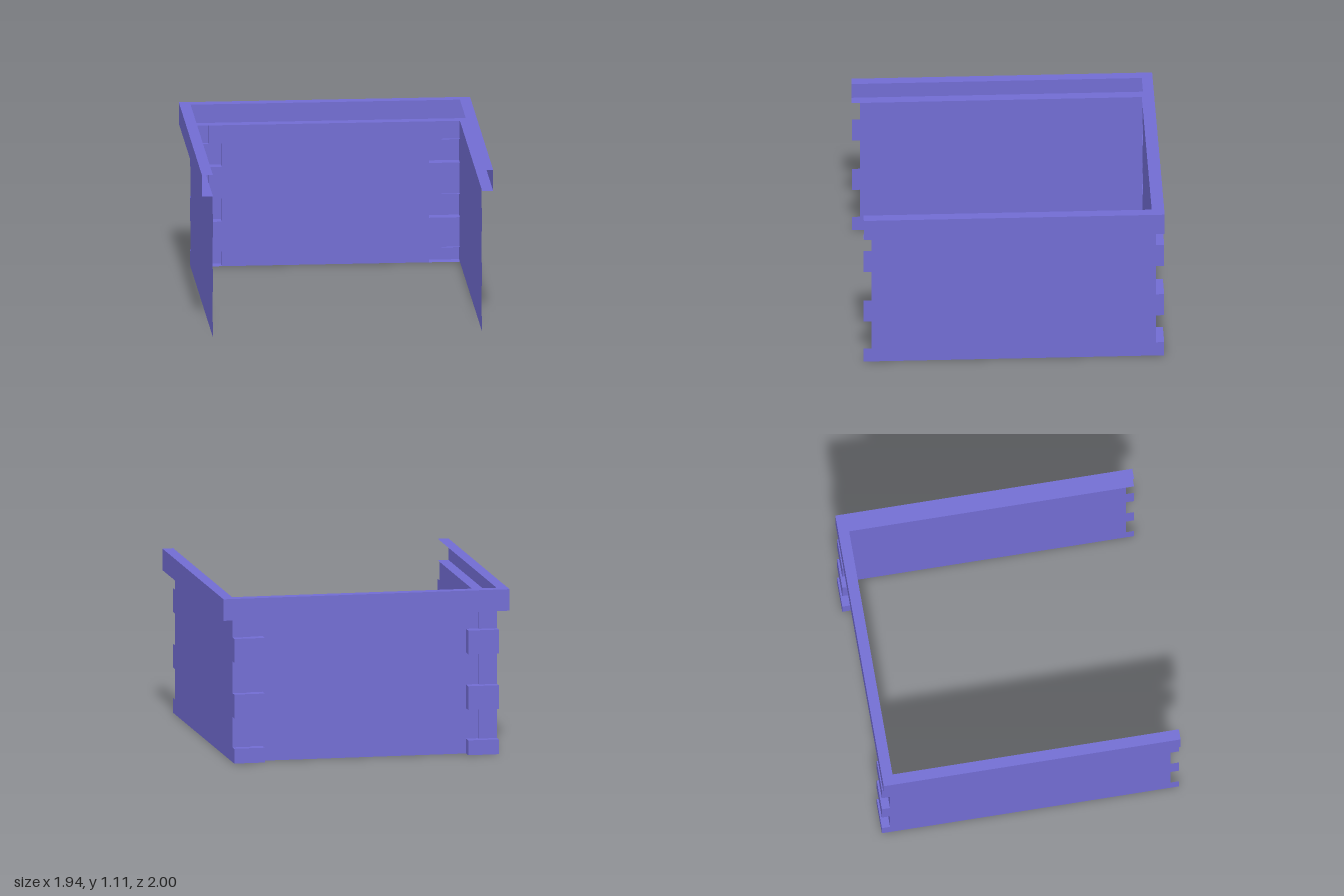
import * as THREE from 'three';
import { mergeGeometries } from 'three/addons/utils/BufferGeometryUtils.js';

const OUT = 0.97, WALL = 0.897;            // rim and side wall planes (x)
const BACK = -1, STRIP = -0.945, PANEL = -0.928; // block, corner strip and panel planes (z)
const STEP = 0.775, BLOCK = 0.69;          // inner ends of strip and block (x)
const RIM = 0.965, TOP = 1.11;
const BLOCKS = [[0, 0.1], [0.305, 0.465], [0.68, 0.84]];
const GAPS = [[0.1, 0.305], [0.465, 0.68], [0.84, RIM]];

const indigo = new THREE.MeshStandardMaterial({ color: 0x716cd2, side: THREE.DoubleSide });
indigo.name = 'indigo';

// Flat sheet from an outline of [x, y] points
function sheet(points) {
  return new THREE.ShapeGeometry(new THREE.Shape(points.map(p => new THREE.Vector2(...p))));
}

// Axis-aligned sheets
const acrossZ = (x0, x1, y0, y1, z) =>
  sheet([[x1, y0], [x0, y0], [x0, y1], [x1, y1]]).rotateY(Math.PI).translate(0, 0, z).scale(-1, 1, 1);
const acrossX = (z0, z1, y0, y1, x) =>
  sheet([[z0, y0], [z1, y0], [z1, y1], [z0, y1]]).rotateY(-Math.PI / 2).translate(x, 0, 0);
const acrossY = (x0, x1, z0, z1, y) =>
  sheet([[x0, z0], [x1, z0], [x1, z1], [x0, z1]]).rotateX(Math.PI / 2).translate(0, y, 0);

export function createModel() {
  const model = new THREE.Group();
  model.name = 'openEnclosure';
  const add = (name, ...geometries) => {
    const mesh = new THREE.Mesh(mergeGeometries(geometries), indigo);
    mesh.name = name;
    model.add(mesh);
  };

  // Back panel, notched at both ends around the corner blocks
  const edge = [];
  BLOCKS.forEach(([b0, b1], i) => {
    edge.push([BLOCK, b0], [BLOCK, b1], [STEP, b1], [STEP, GAPS[i][1]]);
  });
  const mirrored = edge.map(([x, y]) => [-x, y]).reverse();
  add('backPanel', sheet([...edge, ...mirrored]).translate(0, 0, PANEL));

  for (const s of [1, -1]) {
    const side = s > 0 ? 'left' : 'right';

    // Side wall with toothed front and back edges
    const teeth = [];
    BLOCKS.forEach(([b0, b1], i) => {
      teeth.push([1, b0], [1, b1], [-STRIP, b1], [-STRIP, GAPS[i][1]]);
    });
    const backTeeth = teeth.map(([z, y]) => [-z, y]).reverse();
    add(side + 'Wall', sheet([...teeth, ...backTeeth]).rotateY(-Math.PI / 2).translate(s * WALL, 0, 0));

    // Raised blocks, hollow towards the inside
    for (const [y0, y1] of BLOCKS) {
      const a = Math.min(s * BLOCK, s * WALL), b = Math.max(s * BLOCK, s * WALL);
      add(side + 'CornerBlock',
        acrossZ(a, b, y0, y1, BACK),
        acrossX(BACK, PANEL, y0, y1, s * BLOCK),
        acrossY(a, b, BACK, PANEL, y0),
        acrossY(a, b, BACK, PANEL, y1));
    }

    // Corner strips between the blocks, with the step to the panel
    for (const [y0, y1] of GAPS) {
      const a = Math.min(s * STEP, s * WALL), b = Math.max(s * STEP, s * WALL);
      add(side + 'CornerStrip',
        acrossZ(a, b, y0, y1, STRIP),
        acrossX(STRIP, PANEL, y0, y1, s * STEP));
    }

    add(side + 'RimFace', acrossX(-1, 1, RIM, TOP, s * OUT));
  }

  // Rim: a channel open to the inside, with upper and lower flanges
  add('backRimFace', acrossZ(-OUT, OUT, RIM, TOP, BACK));
  const flange = [[-OUT, 1], [-OUT, -1], [OUT, -1], [OUT, 1],
    [WALL, 1], [WALL, PANEL], [-WALL, PANEL], [-WALL, 1]];
  add('upperFlange', sheet(flange).rotateX(Math.PI / 2).translate(0, TOP, 0));
  add('lowerFlange', sheet(flange).rotateX(Math.PI / 2).translate(0, RIM, 0));

  return model;
}
